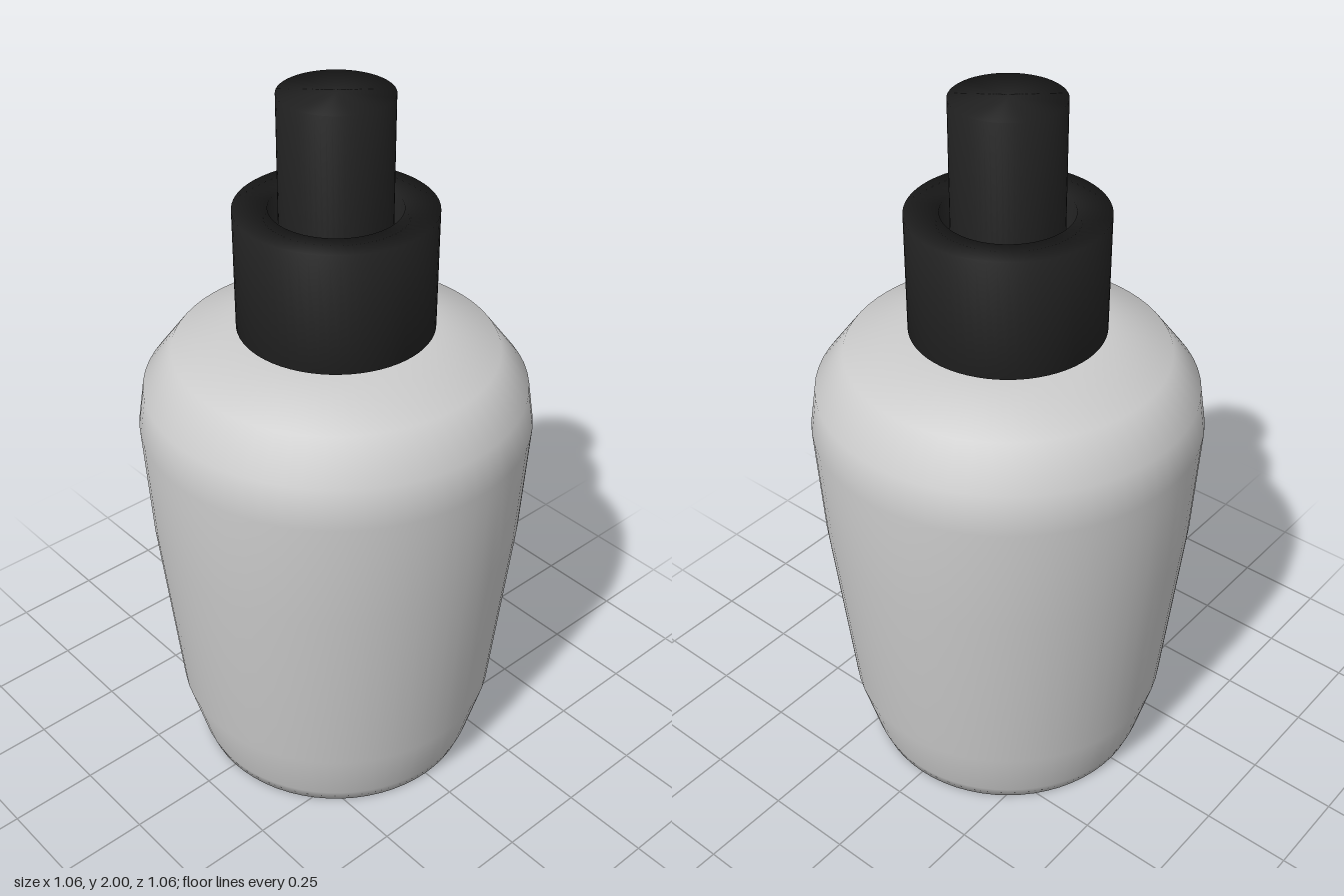
import * as THREE from 'three';

const SEGMENTS = 64;

// Revolve a [radius, height] profile, listed from the bottom up the outside
function turned(name, profile, material) {
  const points = profile.map(([r, y]) => new THREE.Vector2(r, y));
  const mesh = new THREE.Mesh(new THREE.LatheGeometry(points, SEGMENTS), material);
  mesh.name = name;
  return mesh;
}

export function createModel() {
  const group = new THREE.Group();
  group.name = 'pumpBottle';

  const grey = new THREE.MeshStandardMaterial({ color: 0xcccccc });
  const black = new THREE.MeshStandardMaterial({ color: 0x222222 });

  // Tapered body with a rounded shoulder and closed base
  group.add(turned('bottleBody', [
    [0, 0], [0.4, 0], [0.415, 0.04], [0.46, 0.21], [0.515, 0.77], [0.532, 1.09],
    [0.515, 1.2], [0.435, 1.305], [0.26, 1.36], [0, 1.36],
  ], grey));

  // Hollow collar, floating just above the shoulder
  group.add(turned('collar', [
    [0.172, 1.37], [0.262, 1.37], [0.262, 1.7], [0.172, 1.7], [0.172, 1.37],
  ], black));

  // Plunger passing through the collar
  group.add(turned('plunger', [
    [0, 1.355], [0.146, 1.355], [0.146, 2], [0, 2],
  ], black));

  return group;
}
